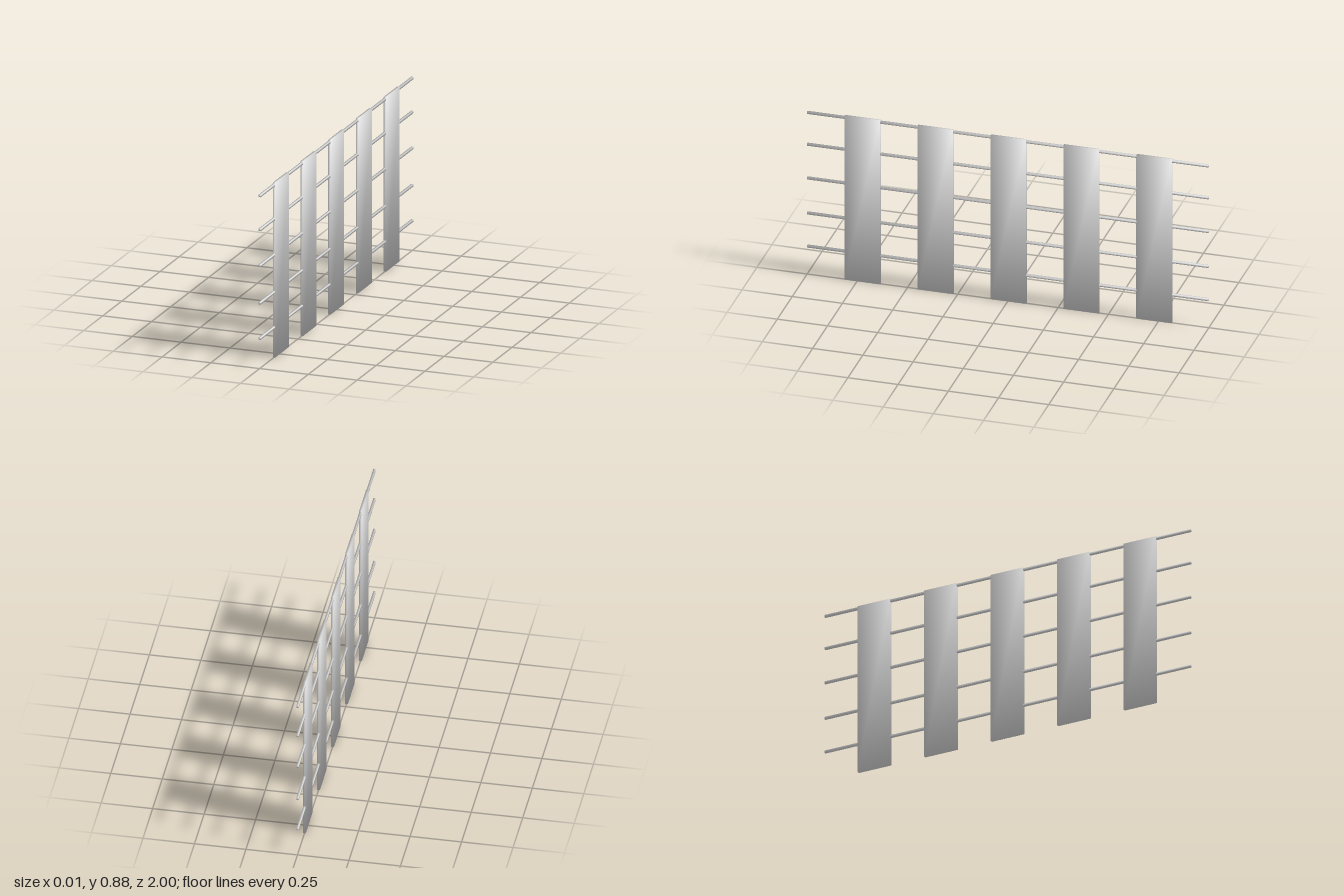
import * as THREE from 'three';
import { RoundedBoxGeometry } from 'three/addons/geometries/RoundedBoxGeometry.js';

const material = new THREE.MeshStandardMaterial({ color: 0xcccccc });

// Thin bar with a tiny chamfer and soft corner normals shared by all faces
function softBar(width, height, depth, bevel) {
  const geometry = new RoundedBoxGeometry(width, height, depth, 1, bevel);
  const p = geometry.attributes.position;
  const n = geometry.attributes.normal;
  const k = 1 / Math.sqrt(3);
  for (let i = 0; i < p.count; i++) {
    n.setXYZ(i, Math.sign(p.getX(i)) * k, Math.sign(p.getY(i)) * k, Math.sign(p.getZ(i)) * k);
  }
  return geometry;
}

export function createModel() {
  const fence = new THREE.Group();
  fence.name = 'fence';

  const add = (name, geometry, y, z) => {
    const mesh = new THREE.Mesh(geometry, material);
    mesh.name = name;
    mesh.position.set(0, y, z);
    fence.add(mesh);
  };

  // Upright planks, evenly spaced along z
  const height = 0.875;
  const plank = softBar(0.014, height, 0.178, 0.002);
  for (let i = -2; i <= 2; i++) add('plank', plank, height / 2, i * 0.363 - 0.003);

  // Horizontal rails running through the planks
  const rail = softBar(0.012, 0.013, 2, 0.002);
  for (const y of [0.15, 0.327, 0.514, 0.694, 0.864]) add('rail', rail, y, 0);

  return fence;
}
